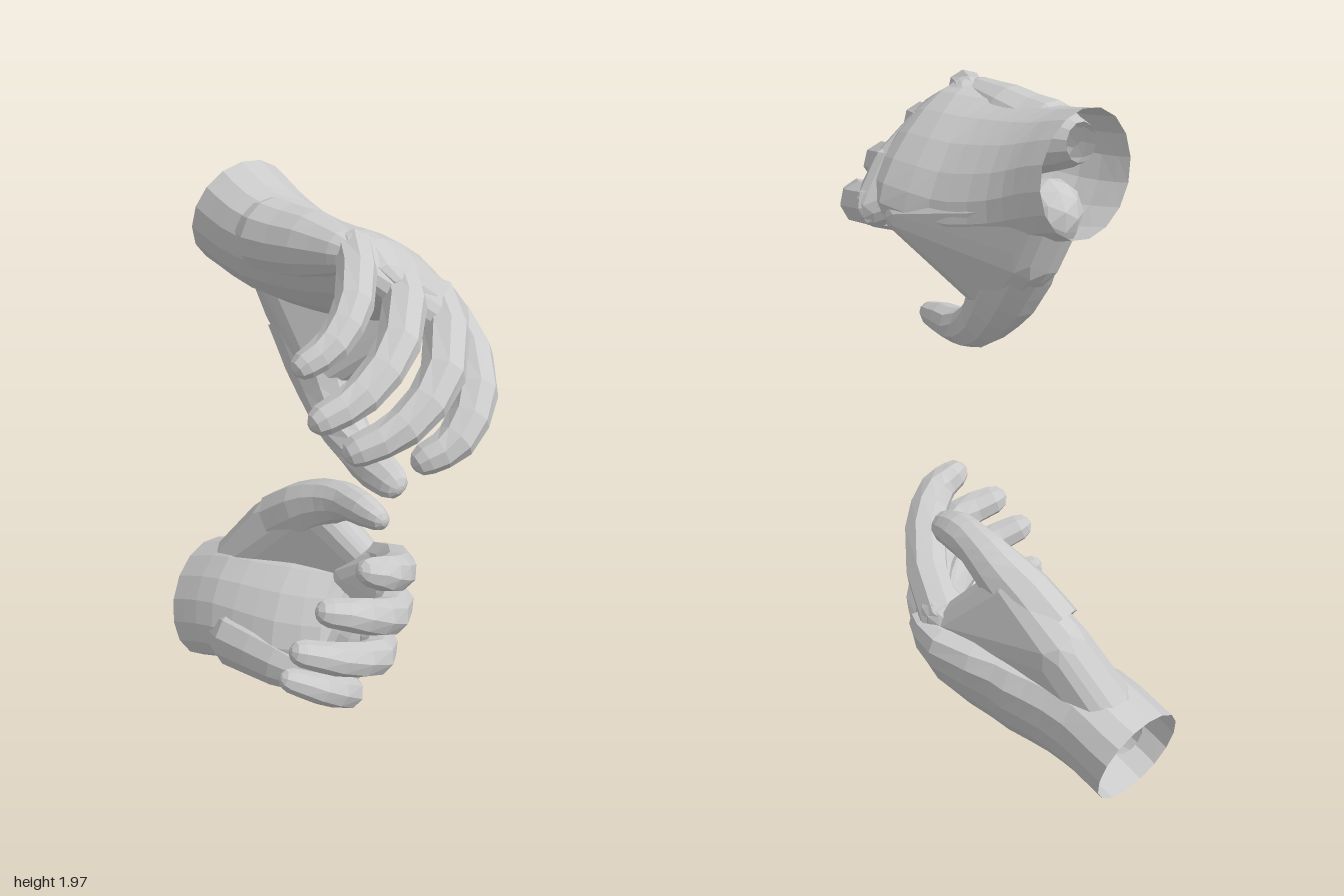
import * as THREE from 'three';
import { ConvexGeometry } from 'three/addons/geometries/ConvexGeometry.js';

const skin = new THREE.MeshStandardMaterial({ color: 0xcccccc, flatShading: true, side: THREE.DoubleSide });

// Faceted limb: elliptical rings [x, y, z, half width, half thickness] swept along a curve.
// The width runs along "side"; the start is open and the end is rounded.
function limb(name, side, rings, sides = 9, steps = 2) {
  const curve = new THREE.CatmullRomCurve3(rings.map((r) => new THREE.Vector3(r[0], r[1], r[2])));
  const across = new THREE.Vector3(...side);
  const pos = [], index = [];
  const last = (rings.length - 1) * steps;
  const addRing = (c, T, w, t) => {
    const u = across.clone().addScaledVector(T, -across.dot(T)).normalize();
    const v = new THREE.Vector3().crossVectors(T, u);
    for (let j = 0; j < sides; j++) {
      const a = (j / sides) * Math.PI * 2;
      const p = c.clone().addScaledVector(u, Math.cos(a) * w).addScaledVector(v, Math.sin(a) * t);
      pos.push(p.x, p.y, p.z);
    }
  };
  for (let i = 0; i <= last; i++) {
    const k = Math.min(Math.floor(i / steps), rings.length - 2), f = i / steps - k;
    const w = THREE.MathUtils.lerp(rings[k][3], rings[k + 1][3], f);
    const t = THREE.MathUtils.lerp(rings[k][4], rings[k + 1][4], f);
    const c = curve.getPoint(i / last), T = curve.getTangent(i / last);
    addRing(c, T, w, t);
    if (i === last) {
      addRing(c.clone().addScaledVector(T, t * 0.6), T, w * 0.75, t * 0.75);
      addRing(c.clone().addScaledVector(T, t * 0.9), T, w * 0.3, t * 0.3);
      addRing(c.clone().addScaledVector(T, t * 0.95), T, 0.001, 0.001);
    }
  }
  for (let i = 0; i < last + 3; i++) {
    for (let j = 0; j < sides; j++) {
      const a = i * sides + j, b = i * sides + ((j + 1) % sides);
      index.push(a, b, a + sides, b, b + sides, a + sides);
    }
  }
  const geo = new THREE.BufferGeometry();
  geo.setAttribute('position', new THREE.Float32BufferAttribute(pos, 3));
  geo.setIndex(index);
  geo.computeVertexNormals();
  const mesh = new THREE.Mesh(geo, skin);
  mesh.name = name;
  return mesh;
}

// Skin stretched tightly over a set of balls [x, y, z, radius]
function stretched(name, balls) {
  const points = [];
  for (const [x, y, z, r] of balls) {
    const p = new THREE.IcosahedronGeometry(r, 1).attributes.position;
    for (let i = 0; i < p.count; i++) {
      points.push(new THREE.Vector3(p.getX(i) + x, p.getY(i) + y, p.getZ(i) + z));
    }
  }
  const mesh = new THREE.Mesh(new ConvexGeometry(points), skin);
  mesh.name = name;
  return mesh;
}

const mix = (a, b, f) => a.map((c, i) => c + (b[i] - c) * f);

// Finger through knuckle, middle joint, end joint and tip, rooted inside the palm
function finger(name, side, palmCentre, r, joints) {
  const root = mix(joints[0], palmCentre, 0.4);
  const scale = [0.8, 1.08, 1.04, 0.92, 0.74];
  return limb(name, side, [root, ...joints].map((p, i) => [...p, r * scale[i], r * scale[i]]), 8);
}

function hand(name, h) {
  const group = new THREE.Group();
  group.name = name;
  group.add(limb('palm', h.side, h.palm, 16, 3));
  group.add(limb('palmHeel', h.side, h.heel, 12, 2));
  group.add(stretched('thumbBase', h.thumbBase));
  group.add(limb('thumb', h.web, h.thumb, 10, 2));
  const centre = h.palm[2].slice(0, 3);
  const radii = { indexFinger: 0.062, middleFinger: 0.062, ringFinger: 0.059, littleFinger: 0.053 };
  const names = Object.keys(radii);
  for (const key of names) group.add(finger(key, h.side, centre, radii[key], h[key]));
  // webbing that joins each pair of neighbouring fingers to the palm
  for (let i = 0; i < 3; i++) {
    const balls = [names[i], names[i + 1]].flatMap((key) => {
      const [knuckle, middle] = h[key];
      return [
        [...mix(knuckle, centre, 0.35), 0.07],
        [...knuckle, radii[key] * 1.02],
        [...mix(knuckle, middle, 0.28), radii[key] * 0.85],
      ];
    });
    group.add(stretched('fingerWeb', balls));
  }
  return group;
}

// Upper hand: thumb down, fingers curling forward
const upper = {
  side: [0.53, -0.65, -0.54],
  web: [0.8, 0.2, 0.5],
  palm: [
    [-0.235, 1.82, -0.12, 0.2, 0.165],
    [-0.11, 1.77, 0.0, 0.215, 0.15],
    [0.07, 1.745, 0.12, 0.245, 0.12],
    [0.25, 1.755, 0.22, 0.235, 0.085],
    [0.3, 1.735, 0.3, 0.2, 0.055],
  ],
  heel: [
    [-0.22, 1.86, 0.02, 0.06, 0.06],
    [-0.13, 1.84, 0.11, 0.11, 0.11],
    [0.0, 1.86, 0.23, 0.095, 0.095],
    [0.09, 1.88, 0.33, 0.062, 0.062],
  ],
  thumbBase: [
    [-0.13, 1.7, -0.11, 0.1],
    [-0.08, 1.56, -0.09, 0.095],
    [0.02, 1.38, 0.015, 0.075],
    [0.12, 1.48, 0.05, 0.04],
    [0.3, 1.6, 0.09, 0.06],
  ],
  thumb: [
    [-0.05, 1.53, -0.06, 0.12, 0.09],
    [0.0, 1.41, -0.01, 0.115, 0.085],
    [0.06, 1.27, 0.07, 0.08, 0.077],
    [0.12, 1.2, 0.15, 0.064, 0.06],
    [0.19, 1.175, 0.25, 0.062, 0.053],
    [0.235, 1.165, 0.31, 0.05, 0.04],
  ],
  indexFinger: [[0.39, 1.6, 0.15], [0.46, 1.51, 0.41], [0.41, 1.42, 0.53], [0.33, 1.38, 0.57]],
  middleFinger: [[0.34, 1.7, 0.22], [0.37, 1.6, 0.49], [0.27, 1.5, 0.62], [0.15, 1.45, 0.67]],
  ringFinger: [[0.24, 1.8, 0.29], [0.25, 1.71, 0.54], [0.16, 1.62, 0.68], [0.06, 1.575, 0.745]],
  littleFinger: [[0.12, 1.89, 0.33], [0.13, 1.82, 0.54], [0.08, 1.75, 0.65], [0.01, 1.71, 0.7]],
};

// Lower hand: thumb up, fingers curling forward
const lower = {
  side: [0.4, 0.7, -0.6],
  web: [0.8, -0.5, 0.2],
  palm: [
    [-0.415, 0.197, -0.66, 0.212, 0.16],
    [-0.28, 0.26, -0.55, 0.22, 0.16],
    [-0.09, 0.29, -0.44, 0.25, 0.145],
    [0.1, 0.325, -0.36, 0.245, 0.1],
    [0.16, 0.335, -0.27, 0.205, 0.055],
  ],
  heel: [
    [-0.39, 0.18, -0.54, 0.06, 0.06],
    [-0.29, 0.19, -0.43, 0.12, 0.12],
    [-0.13, 0.17, -0.32, 0.105, 0.105],
    [0.0, 0.145, -0.24, 0.065, 0.065],
  ],
  thumbBase: [
    [-0.3, 0.36, -0.63, 0.1],
    [-0.18, 0.53, -0.59, 0.095],
    [-0.04, 0.66, -0.475, 0.077],
    [0.05, 0.57, -0.42, 0.04],
    [0.14, 0.49, -0.41, 0.06],
  ],
  thumb: [
    [-0.15, 0.56, -0.55, 0.11, 0.09],
    [-0.07, 0.64, -0.49, 0.1, 0.085],
    [0.01, 0.705, -0.43, 0.078, 0.074],
    [0.07, 0.737, -0.37, 0.064, 0.06],
    [0.13, 0.745, -0.3, 0.06, 0.053],
    [0.17, 0.74, -0.26, 0.05, 0.04],
  ],
  indexFinger: [[0.18, 0.51, -0.39], [0.24, 0.63, -0.12], [0.21, 0.7, 0.02], [0.16, 0.73, 0.065]],
  middleFinger: [[0.2, 0.41, -0.36], [0.22, 0.49, -0.08], [0.14, 0.575, 0.07], [0.04, 0.61, 0.115]],
  ringFinger: [[0.15, 0.28, -0.31], [0.18, 0.36, -0.04], [0.07, 0.44, 0.11], [-0.04, 0.485, 0.155]],
  littleFinger: [[0.04, 0.15, -0.24], [0.09, 0.23, -0.03], [0.01, 0.31, 0.08], [-0.08, 0.36, 0.115]],
};

export function createModel() {
  const model = new THREE.Group();
  model.name = 'pairOfHands';
  model.add(hand('upperHand', upper), hand('lowerHand', lower));
  return model;
}
